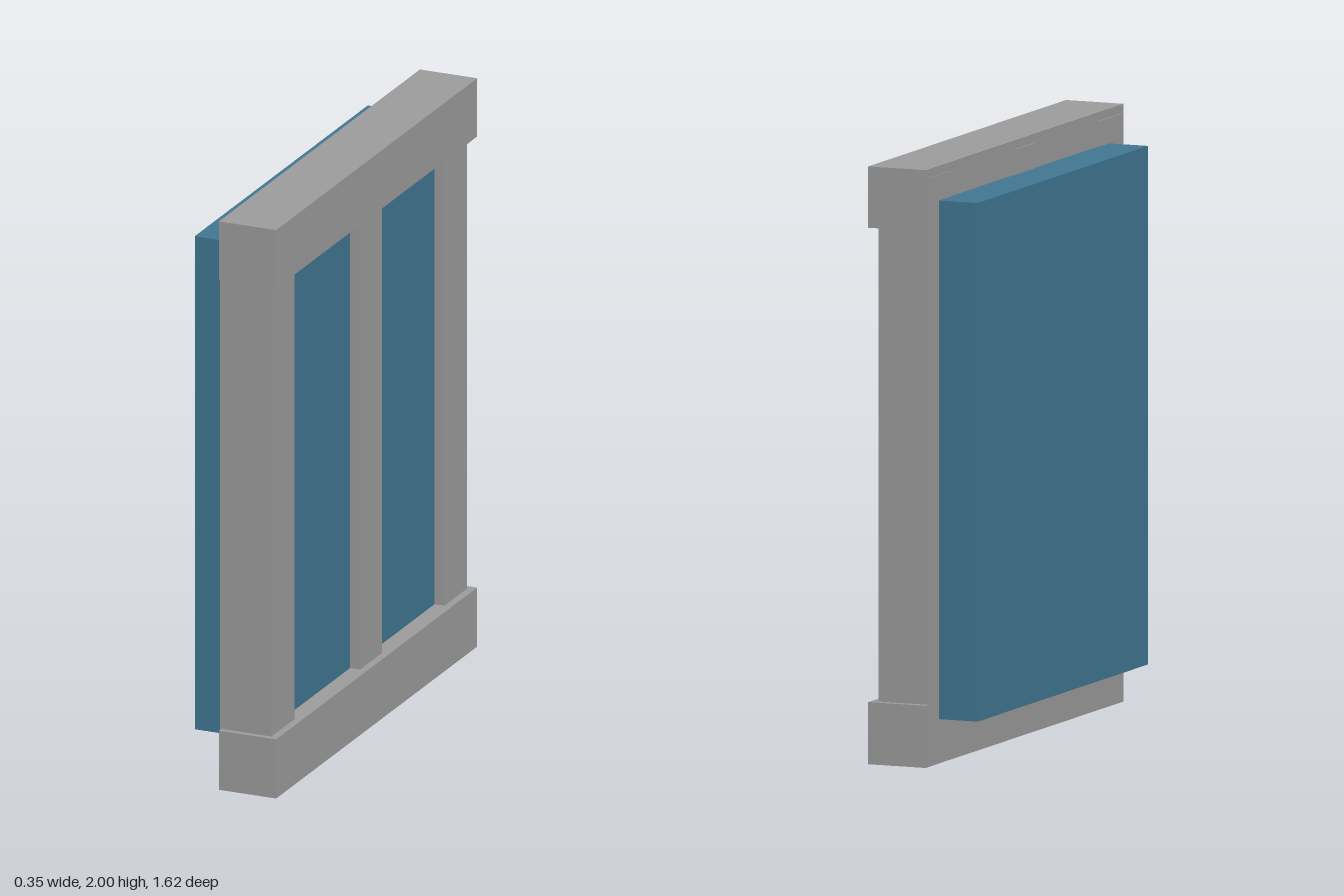
import * as THREE from 'three';

export function createModel() {
  const group = new THREE.Group();
  group.name = 'window';
  const frame = new THREE.MeshStandardMaterial({ color: 0x9e9e9e });
  frame.name = 'frame grey';
  const glass = new THREE.MeshStandardMaterial({ color: 0x427894 });
  glass.name = 'glass blue';

  // box given by its extents along each axis
  const addBox = (name, material, [x0, x1], [y0, y1], [z0, z1]) => {
    const mesh = new THREE.Mesh(new THREE.BoxGeometry(x1 - x0, y1 - y0, z1 - z0), material);
    mesh.position.set((x0 + x1) / 2, (y0 + y1) / 2, (z0 + z1) / 2);
    mesh.name = name;
    group.add(mesh);
  };

  // head and sill rails
  addBox('topRail', frame, [-0.032, 0.176], [1.795, 2], [-0.81, 0.81]);
  addBox('bottomRail', frame, [-0.032, 0.176], [0, 0.208], [-0.81, 0.81]);

  // upright posts, running into the rails and just proud of their backs
  const posts = { frontPost: [0.603, 0.79], middlePost: [-0.102, 0.076], backPost: [-0.785, -0.605] };
  for (const [name, z] of Object.entries(posts)) addBox(name, frame, [-0.036, 0.15], [0.07, 1.97], z);

  // thick pane set into the frame and standing out behind it
  addBox('pane', glass, [-0.176, 0.114], [0.15, 1.885], [-0.71, 0.684]);

  return group;
}
